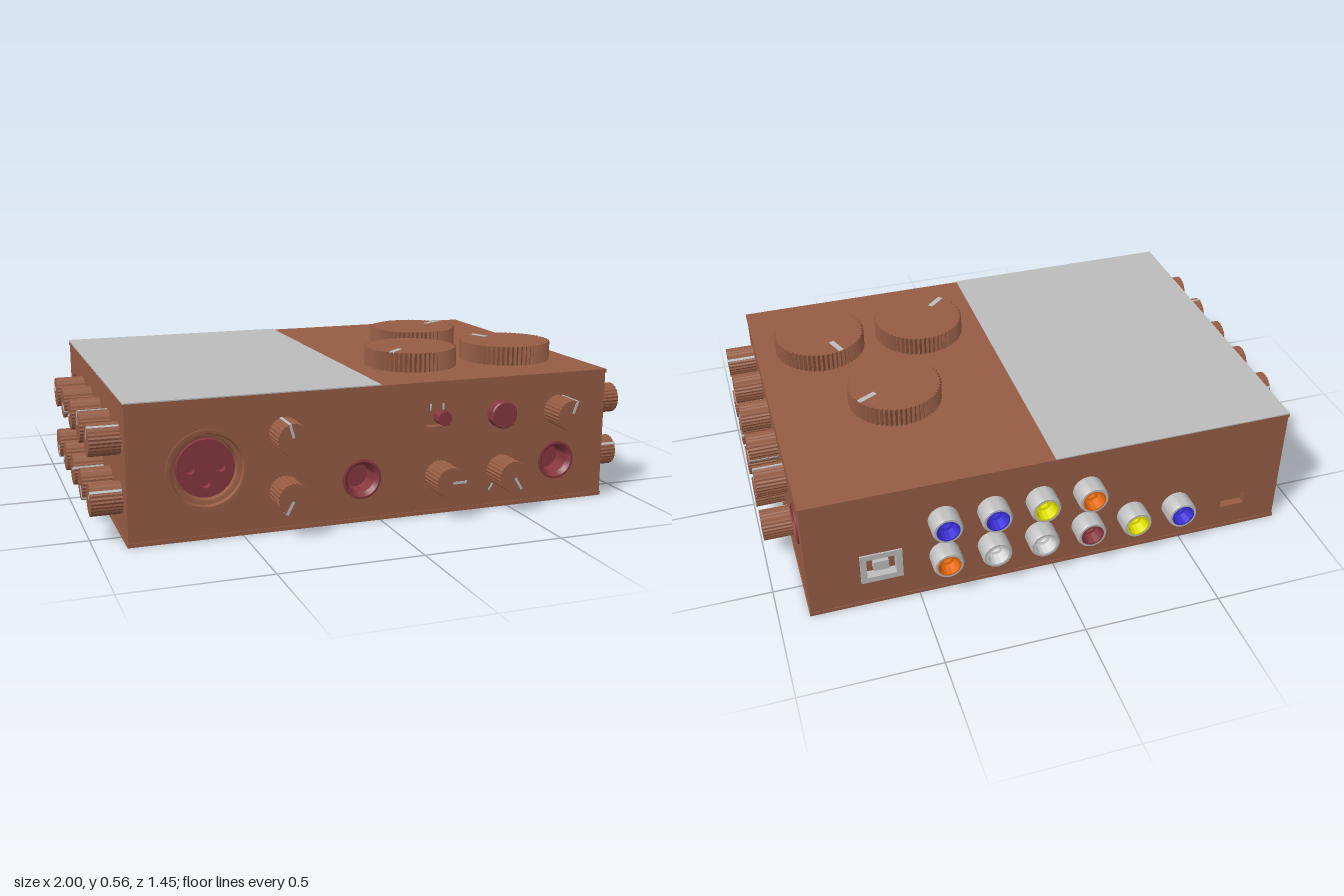
import * as THREE from 'three';
import { toCreasedNormals } from 'three/addons/utils/BufferGeometryUtils.js';

const mat = (name, color) => new THREE.MeshStandardMaterial({ name, color });
const V = (x, y) => new THREE.Vector2(x, y);

export function createModel() {
  const brown = mat('brown', 0x965c44), silver = mat('silver', 0xbcbcbc), red = mat('dark red', 0x87383f);
  const white = mat('white', 0xd8d8d8), blue = mat('blue', 0x3a2fd6), yellow = mat('yellow', 0xe2e000), orange = mat('orange', 0xee6c10);

  const W = 0.89, D = 0.635, T = 0.03, Y0 = 0.012, Y1 = 0.472;
  const model = new THREE.Group();
  model.name = 'controlBox';
  const shell = new THREE.Group();
  shell.name = 'shell';
  shell.position.z = -0.02;
  model.add(shell);

  const add = (parent, name, geo, material, x = 0, y = 0, z = 0) => {
    const m = new THREE.Mesh(geo, material);
    m.name = name;
    m.position.set(x, y, z);
    parent.add(m);
    return m;
  };
  const box = (w, h, d) => new THREE.BoxGeometry(w, h, d);
  // Turned part whose axis points along +z
  const turned = (pts, seg = 36) =>
    toCreasedNormals(new THREE.LatheGeometry(pts.map(p => V(...p)), seg).rotateX(Math.PI / 2), 0.6);

  // Hole outlines
  const round = (x, y, r) => new THREE.Path().absarc(x, y, r, 0, Math.PI * 2, true);
  const rect = (x, y, w, h) => new THREE.Path([
    V(x - w / 2, y - h / 2), V(x - w / 2, y + h / 2), V(x + w / 2, y + h / 2), V(x + w / 2, y - h / 2), V(x - w / 2, y - h / 2)]);
  const stadium = (x, y, w, r) => new THREE.Path()
    .absarc(x + w / 2 - r, y, r, Math.PI / 2, -Math.PI / 2, true)
    .absarc(x - w / 2 + r, y, r, -Math.PI / 2, Math.PI / 2, true);
  const plate = (shape, holes, depth) => {
    shape.holes.push(...holes);
    return new THREE.ExtrudeGeometry(shape, { depth, bevelEnabled: false, curveSegments: 20 });
  };
  const rectShape = (w, y0, y1) => new THREE.Shape([V(-w, y0), V(w, y0), V(w, y1), V(-w, y1)]);

  // One side of the box: local x runs along the wall, z = 0 is its outer face
  const face = (name, angle, halfWidth, dist, holes) => {
    const g = new THREE.Group();
    g.name = name;
    g.rotation.y = angle;
    g.position.set(Math.sin(angle) * dist, 0, Math.cos(angle) * dist);
    add(g, name + 'Wall', plate(rectShape(halfWidth, Y0, Y1), holes, T), brown, 0, 0, -T);
    shell.add(g);
    return g;
  };

  // Ribbed knob with a pointer at the given angle in degrees
  const ribbed = (r, h, n) => {
    const geo = new THREE.CylinderGeometry(r, r, h, n * 2).rotateX(Math.PI / 2).translate(0, 0, h / 2);
    const p = geo.attributes.position;
    for (let i = 0; i < p.count; i++) {
      const k = Math.round(Math.atan2(p.getY(i), p.getX(i)) / (Math.PI / n));
      const s = k % 2 ? 0.95 : 1;
      p.setXY(i, p.getX(i) * s, p.getY(i) * s);
    }
    const flat = geo.toNonIndexed();
    flat.computeVertexNormals();
    return flat;
  };
  const smallKnob = ribbed(0.056, 0.106, 26), bigKnob = ribbed(0.172, 0.07, 60);
  const knob = (parent, x, y, deg, big = false) => {
    const g = new THREE.Group();
    g.name = big ? 'largeKnob' : 'knob';
    g.position.set(x, y, 0);
    add(g, 'knobBody', big ? bigKnob : smallKnob, brown);
    const pointer = new THREE.Group();
    pointer.name = 'pointer';
    pointer.rotation.z = deg * Math.PI / 180;
    if (big) add(pointer, 'pointerLine', box(0.075, 0.02, 0.006), silver, 0.128, 0, 0.069);
    else {
      add(pointer, 'pointerLine', box(0.05, 0.009, 0.006), silver, 0.032, 0, 0.105);
      add(pointer, 'pointerEdge', box(0.006, 0.009, 0.104), silver, 0.054, 0, 0.054);
    }
    g.add(pointer);
    parent.add(g);
  };

  // Large round socket with a rolled rim
  const jackGeo = turned([[0.071, -0.002], [0.071, 0.005], [0.063, 0.006], [0.05, -0.01], [0.046, -0.07], [0, -0.07]]);
  const jack = (parent, x, y) => add(parent, 'jackSocket', jackGeo, red, x, y);

  // Front
  const front = face('front', 0, W, D, [
    round(-0.62, 0.24, 0.132), round(-0.07, 0.155, 0.062), round(0.695, 0.155, 0.062), stadium(0.21, 0.35, 0.105, 0.03)]);
  add(front, 'microphoneRim', turned([[0.14, -0.002], [0.14, 0.006], [0.126, 0.006], [0.122, -0.008], [0.108, -0.012], [0.104, -0.05], [0, -0.05]], 48), brown, -0.62, 0.24);
  const pins = [[-0.053, 0], [0.053, 0], [0, -0.052]];
  const insert = new THREE.Shape().absarc(0, 0, 0.1, 0, Math.PI * 2);
  add(front, 'microphoneInsert', plate(insert, pins.map(([x, y]) => round(x, y, 0.016)), 0.03), red, -0.62, 0.24, -0.048);
  for (const [x, y] of pins)
    add(front, 'pinHole', new THREE.CircleGeometry(0.017, 16), red, -0.62 + x, 0.24 + y, -0.045);
  jack(front, -0.07, 0.155);
  jack(front, 0.695, 0.155);
  for (const k of [[-0.35, 0.345, 105], [-0.35, 0.14, 242], [0.225, 0.14, 0], [0.47, 0.14, 302], [0.695, 0.345, 70]])
    knob(front, ...k);
  add(front, 'pushButton', turned([[0.05, 0], [0.05, 0.036], [0.046, 0.04], [0, 0.04]]), red, 0.46, 0.35);
  add(front, 'switchSlotBack', box(0.12, 0.07, 0.01), brown, 0.21, 0.35, -0.034);
  add(front, 'switchLever', turned([[0.026, -0.03], [0.026, 0.02], [0, 0.02]], 24), red, 0.236, 0.35);
  for (const x of [0.187, 0.236]) add(front, 'switchMark', box(0.006, 0.022, 0.003), silver, x, 0.392, 0.001);
  for (const deg of [238, 302]) {
    const a = deg * Math.PI / 180;
    add(front, 'rangeMark', box(0.03, 0.006, 0.003), silver, 0.47 + 0.073 * Math.cos(a), 0.14 + 0.073 * Math.sin(a), 0.001).rotation.z = a;
  }

  // Left and right sides: two rows of five knobs and one socket each
  const zs = [0.495, 0.3, 0.103, -0.098, -0.295];
  const angles = {
    left: [[40, -60, 203, -20, 90], [143, 15, 145, -58, 135]],
    right: [[60, 90, 200, -30, 150], [40, -50, 20, 215, -60]],
  };
  for (const [side, s] of [['left', 1], ['right', -1]]) {
    const u = z => -s * (z + 0.02);
    const g = face(side, s * Math.PI / 2, D, W, [round(u(-0.505), 0.3, 0.062)]);
    jack(g, u(-0.505), 0.3);
    angles[side].forEach((row, r) => row.forEach((deg, i) => knob(g, u(zs[i]), r ? 0.14 : 0.345, deg)));
  }

  // Back: phono sockets, data port and a small slot
  const back = face('back', Math.PI, W, D, [rect(-0.63, 0.165, 0.12, 0.095), rect(0.71, 0.125, 0.095, 0.052)]);
  const tube = turned([[0.055, 0], [0.055, 0.062], [0.05, 0.07], [0.041, 0.07], [0.041, 0.005]]);
  const lining = turned([[0.042, 0.066], [0.042, 0.071], [0.037, 0.071], [0.03, 0.03], [0.02, 0.028], [0.018, 0.004], [0, 0.004]]);
  const rows = [[blue, blue, yellow, orange], [orange, white, white, red, yellow, blue]];
  rows.forEach((row, r) => row.forEach((color, i) => {
    const x = -0.405 + i * 0.176, y = r ? 0.162 : 0.322;
    add(back, 'phonoSocket', tube, silver, x, y);
    add(back, 'phonoLining', lining, color, x, y);
  }));
  add(back, 'dataPortFrame', plate(rectShape(0.075, -0.062, 0.062), [rect(0, 0, 0.105, 0.08)], 0.036), silver, -0.63, 0.165, -0.03);
  add(back, 'dataPortBack', box(0.13, 0.1, 0.01), brown, -0.63, 0.165, -0.034);
  add(back, 'dataPortTongue', box(0.055, 0.038, 0.03), silver, -0.63, 0.165, -0.016);
  add(back, 'slotBack', box(0.11, 0.07, 0.01), brown, 0.71, 0.125, -0.034);

  // Lids and the plain half panel
  for (const y of [0.007, 0.476]) add(shell, 'lid', box(2 * W + 0.006, 0.014, 2 * D + 0.006), brown, 0, y, 0);
  add(shell, 'topPanel', box(W + 0.003, 0.006, 2 * D + 0.006), silver, -(W + 0.003) / 2, 0.484, 0);

  // Three large knobs on top
  const top = new THREE.Group();
  top.name = 'top';
  top.rotation.x = -Math.PI / 2;
  top.position.y = 0.483;
  model.add(top);
  for (const k of [[0.445, 0.14, 28], [0.25, -0.285, 222], [0.645, -0.285, 111]]) knob(top, ...k, true);

  return model;
}
